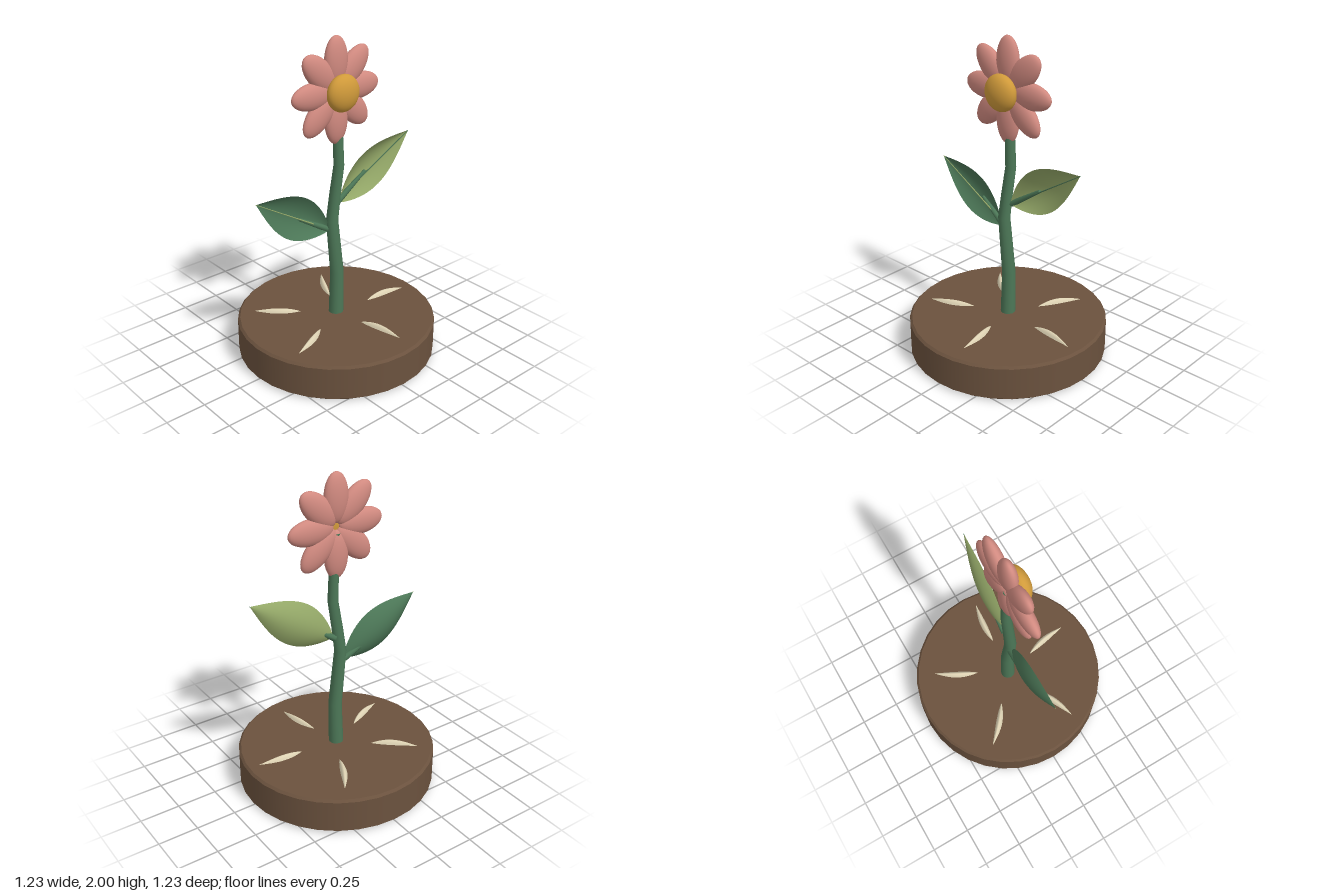
import * as THREE from 'three';
import { ParametricGeometry } from 'three/addons/geometries/ParametricGeometry.js';

const material = (name, color, side = THREE.FrontSide) => {
  const m = new THREE.MeshStandardMaterial({ color, side });
  m.name = name;
  return m;
};

const lathe = (points, sides) =>
  new THREE.LatheGeometry(points.map(([r, y]) => new THREE.Vector2(r, y)), sides);

// Pointed blade outline, widest a little before the middle
const outline = (u) => Math.sin(Math.PI * Math.min(1, Math.pow(u, 0.87)));

// Tapered round rod between two points
function rod(a, b, r0, r1) {
  const dir = b.clone().sub(a);
  const g = new THREE.CylinderGeometry(r1, r0, dir.length(), 8);
  const q = new THREE.Quaternion().setFromUnitVectors(new THREE.Vector3(0, 1, 0), dir.normalize());
  g.applyQuaternion(q);
  const mid = a.clone().add(b).multiplyScalar(0.5);
  return g.translate(mid.x, mid.y, mid.z);
}

export function createModel() {
  const model = new THREE.Group();
  model.name = 'pottedFlower';

  const soil = material('soil brown', 0x6b523e);
  const green = material('stem green', 0x4c7757, THREE.DoubleSide);
  const lightGreen = material('light leaf green', 0x94a868, THREE.DoubleSide);
  const pink = material('petal pink', 0xd18a80);
  const gold = material('centre gold', 0xd09a3a);
  const cream = material('chip cream', 0xded3b4, THREE.DoubleSide);

  const add = (parent, name, geometry, mat) => {
    const mesh = new THREE.Mesh(geometry, mat);
    mesh.name = name;
    parent.add(mesh);
    return mesh;
  };

  // Round base with a small bevel; doubled points keep its edges sharp
  add(model, 'base', lathe([
    [0, 0], [0.6, 0], [0.6, 0], [0.617, 0.014], [0.617, 0.014],
    [0.617, 0.216], [0.617, 0.216], [0.603, 0.23], [0.603, 0.23], [0, 0.23],
  ], 32), soil);

  // Stem: tapered lathe, shifted sideways ring by ring
  const bends = [[0.24, 0], [0.4, 0.005], [0.52, 0.007], [0.7, -0.012], [0.88, -0.031],
    [1.04, -0.008], [1.22, 0.022], [1.4, 0.016], [1.64, 0]];
  const radius = (y) => 0.046 - 0.014 * (y - 0.24);
  const stem = lathe([[0, 0.24], [radius(0.24), 0.24],
    ...bends.map(([y]) => [radius(y), y]), [radius(1.64), 1.64], [0, 1.64]], 14);
  const pos = stem.attributes.position;
  for (let i = 0; i < pos.count; i++) {
    const bend = bends.find(([y]) => Math.abs(y - pos.getY(i)) < 1e-4);
    pos.setX(i, pos.getX(i) + bend[1]);
  }
  add(model, 'stem', stem, green);

  // Leaves: cupped blades with a bulging back, a midrib and a stalk
  function leaf(name, base, tip, mat, ribMat, stalkEnd) {
    const group = new THREE.Group();
    group.name = name;
    const axis = tip.clone().sub(base);
    const across = new THREE.Vector3(-axis.y, axis.x, 0).normalize();
    const blade = new ParametricGeometry((u, v, p) => {
      const s = 2 * v - 1;
      const w = outline(u);
      p.copy(base).addScaledVector(axis, u).addScaledVector(across, 0.131 * w * s);
      p.z -= 0.055 * w * (1 - s * s);
    }, 20, 10);
    add(group, 'leafBlade', blade, mat);
    add(group, 'leafRib', rod(base.clone().setZ(-0.02), tip, 0.005, 0.002), ribMat);
    add(group, 'leafStalk', rod(base.clone().setZ(-0.012), stalkEnd, 0.02, 0.01), green);
    model.add(group);
  }
  leaf('rightLeaf', new THREE.Vector3(-0.05, 0.82, 0), new THREE.Vector3(-0.57, 1.13, -0.02),
    green, lightGreen, new THREE.Vector3(-0.25, 0.935, -0.045));
  leaf('leftLeaf', new THREE.Vector3(0.02, 0.98, 0), new THREE.Vector3(0.56, 1.32, 0.03),
    lightGreen, green, new THREE.Vector3(0.24, 1.125, -0.01));

  // Flower head: eight ellipsoid petals around a flattened centre
  const flower = new THREE.Group();
  flower.name = 'flower';
  flower.position.y = 1.68;
  for (let i = 0; i < 8; i++) {
    const petal = new THREE.SphereGeometry(1, 24, 16);
    petal.scale(0.08, 0.15, 0.045).translate(0, 0.17, 0).rotateZ((i * Math.PI) / 4);
    add(flower, 'petal', petal, pink);
  }
  const centre = new THREE.SphereGeometry(1, 28, 18).scale(0.11, 0.11, 0.063);
  add(flower, 'flowerCentre', centre, gold).position.z = 0.062;
  model.add(flower);

  // Five slim arched chips lying radially on the base: [angle in degrees, mid radius]
  for (const [angle, r] of [[6, 0.39], [79.5, 0.345], [155.5, 0.375], [221.5, 0.37], [299, 0.35]]) {
    const chip = new ParametricGeometry((u, v, p) => {
      const s = 2 * v - 1;
      const w = outline(u);
      p.set(r - 0.15 + 0.3 * u, 0.229 + 0.027 * w * (1 - s * s),
        0.021 * w * s - 0.012 * Math.sin(Math.PI * u));
    }, 10, 6);
    add(model, 'chip', chip, cream).rotation.y = -THREE.MathUtils.degToRad(angle);
  }

  return model;
}
